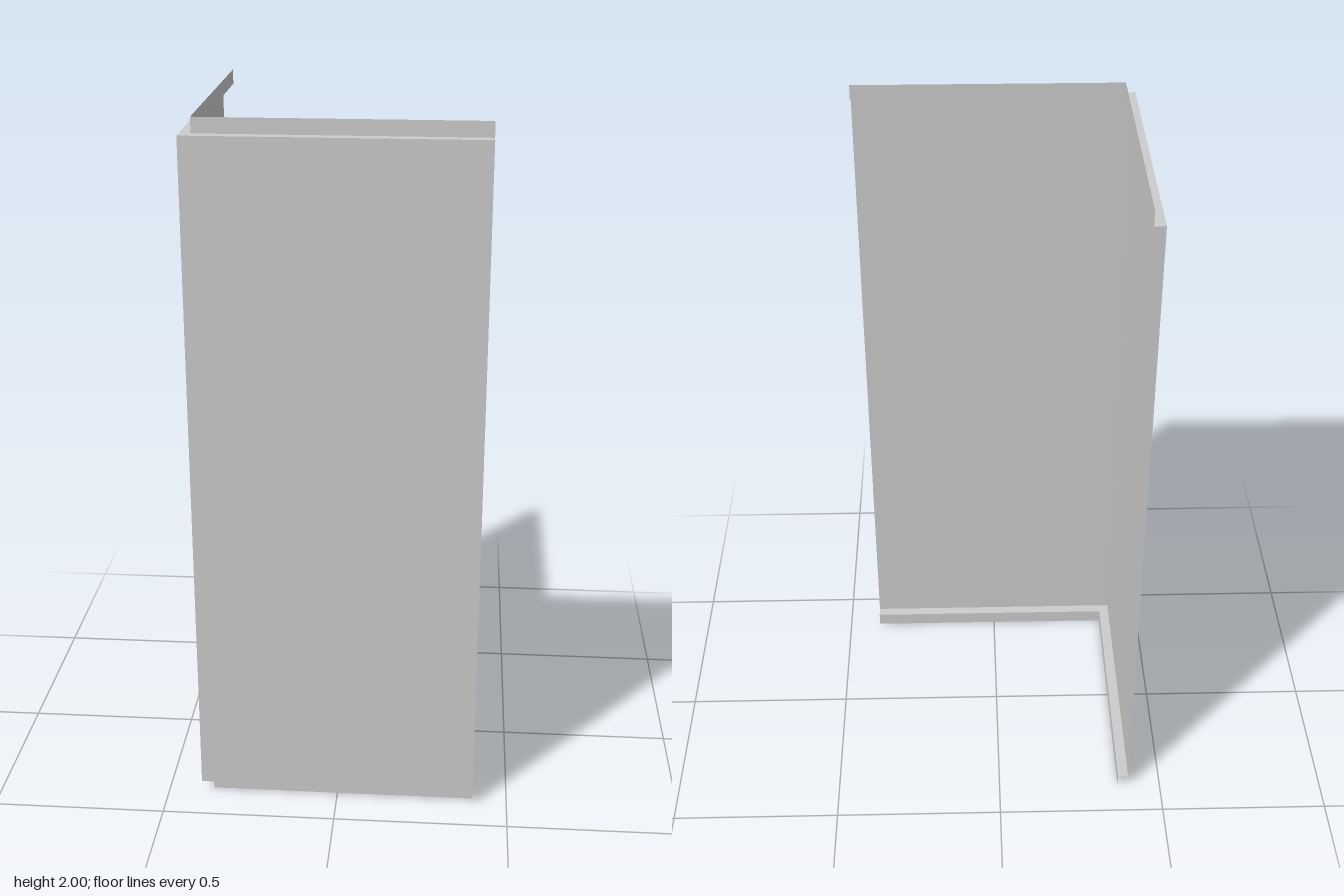
import * as THREE from 'three';

const HALF = 0.4;      // half the width of each wing
const HEIGHT = 2;
const INSET = 0.031;   // how far the lips step in
const LIP = 0.042;     // lip height

// Thin sheet, seen from both sides
const material = new THREE.MeshStandardMaterial({ color: 0xcccccc, side: THREE.DoubleSide });

// L-shaped run (back end, corner, right-hand end) at inset d and height y
function run([d, y]) {
  return [
    [-HALF + d, y, -HALF],
    [-HALF + d, y, HALF - d],
    [HALF, y, HALF - d],
  ];
}

// Mitred strip around the corner between two points of the sheet profile
function strip(name, from, to) {
  const a = run(from), b = run(to);
  const positions = [];
  for (let i = 0; i < 2; i++) {
    positions.push(...a[i], ...a[i + 1], ...b[i + 1], ...a[i], ...b[i + 1], ...b[i]);
  }
  const geometry = new THREE.BufferGeometry();
  geometry.setAttribute('position', new THREE.Float32BufferAttribute(positions, 3));
  geometry.computeVertexNormals();
  const mesh = new THREE.Mesh(geometry, material);
  mesh.name = name;
  return mesh;
}

export function createModel() {
  const group = new THREE.Group();
  group.name = 'cornerPanel';

  // Sheet profile from the floor up: [inset, height]
  const profile = [
    [INSET, 0], [INSET, LIP], [0, LIP],
    [0, HEIGHT - LIP], [INSET, HEIGHT - LIP], [INSET, HEIGHT],
  ];
  const names = ['bottomLip', 'bottomLedge', 'wallPanels', 'topLedge', 'topLip'];
  names.forEach((name, i) => group.add(strip(name, profile[i], profile[i + 1])));

  return group;
}
